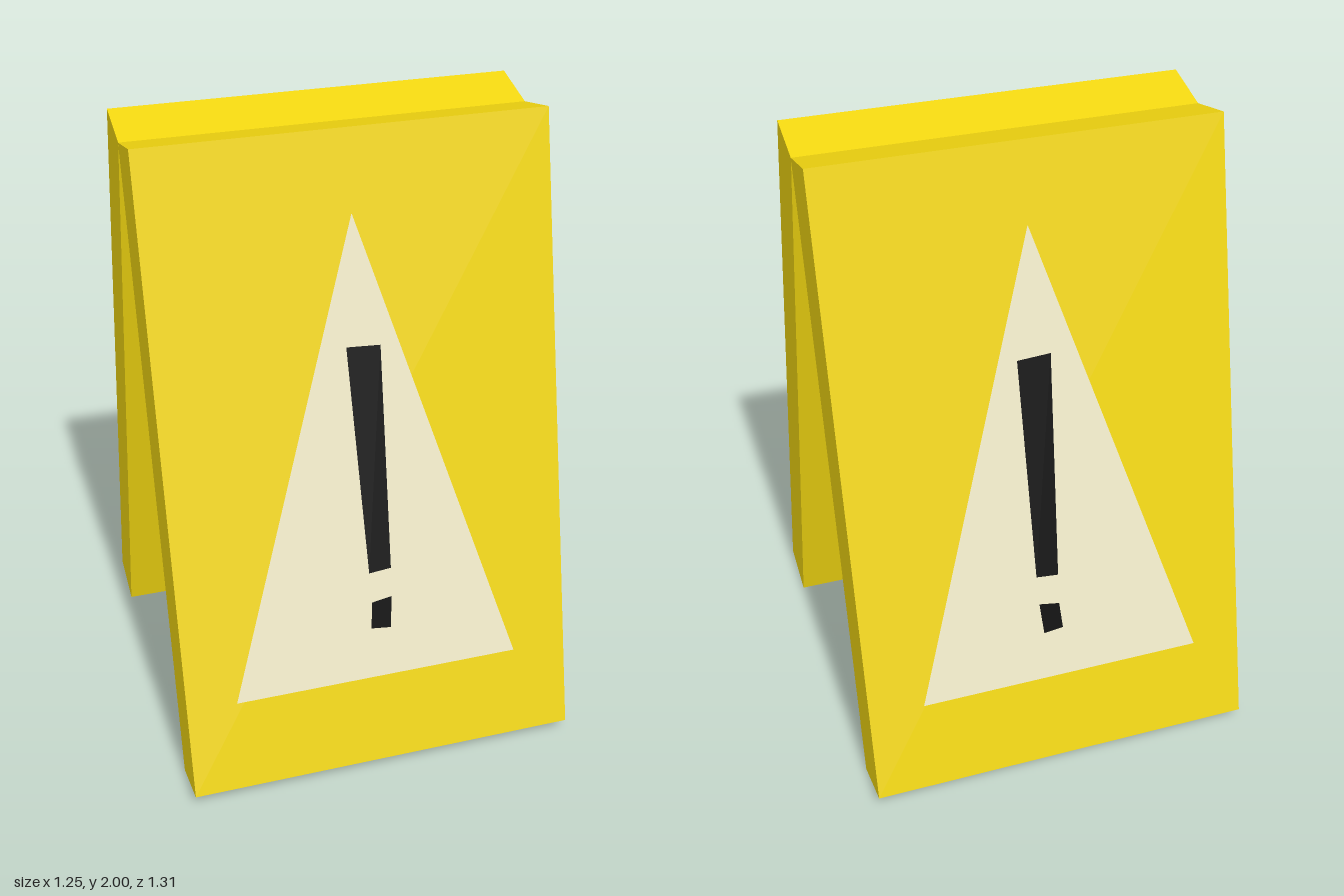
import * as THREE from 'three';

const WIDTH = 1.25, LENGTH = 2.015, THICK = 0.18, LEAN = 0.2403;
const BASE_Y = THICK * Math.sin(LEAN), BASE_Z = 0.653;

const yellow = new THREE.MeshStandardMaterial({ color: 0xf0d510 });
const cream = new THREE.MeshStandardMaterial({ color: 0xefe9c8 });
const black = new THREE.MeshStandardMaterial({ color: 0x0a0a0a });

// Flat marking on the outer face; points are x and upright height
function marking(name, points, material, lift, side) {
  const shape = new THREE.Shape(points.map(([x, y]) =>
    new THREE.Vector2(x * side, (y - BASE_Y) / Math.cos(LEAN))));
  const mesh = new THREE.Mesh(new THREE.ShapeGeometry(shape), material);
  mesh.position.z = lift;
  mesh.name = name;
  return mesh;
}

// One leaning board, pivoted on its outer bottom edge
function board(name, side) {
  const lean = new THREE.Group();
  lean.position.set(0, BASE_Y, BASE_Z);
  lean.rotation.x = -LEAN;

  const panel = new THREE.Mesh(new THREE.BoxGeometry(WIDTH, LENGTH, THICK), yellow);
  panel.position.set(0, LENGTH / 2, -THICK / 2);
  panel.name = 'panel';

  lean.add(
    panel,
    marking('warningTriangle', [[-0.468, 0.327], [0.45, 0.327], [0, 1.76]], cream, 0.002, side),
    marking('exclamationBar', [[-0.018, 0.67], [0.053, 0.676], [0.063, 1.37], [-0.043, 1.376]], black, 0.004, side),
    marking('exclamationDot', [[-0.022, 0.49], [0.041, 0.483], [0.05, 0.584], [-0.015, 0.574]], black, 0.004, side),
  );

  const group = new THREE.Group();
  group.name = name;
  group.rotation.y = side > 0 ? 0 : Math.PI;
  group.add(lean);
  return group;
}

export function createModel() {
  const model = new THREE.Group();
  model.name = 'warningFloorSign';
  model.add(board('frontBoard', 1), board('backBoard', -1));
  return model;
}
